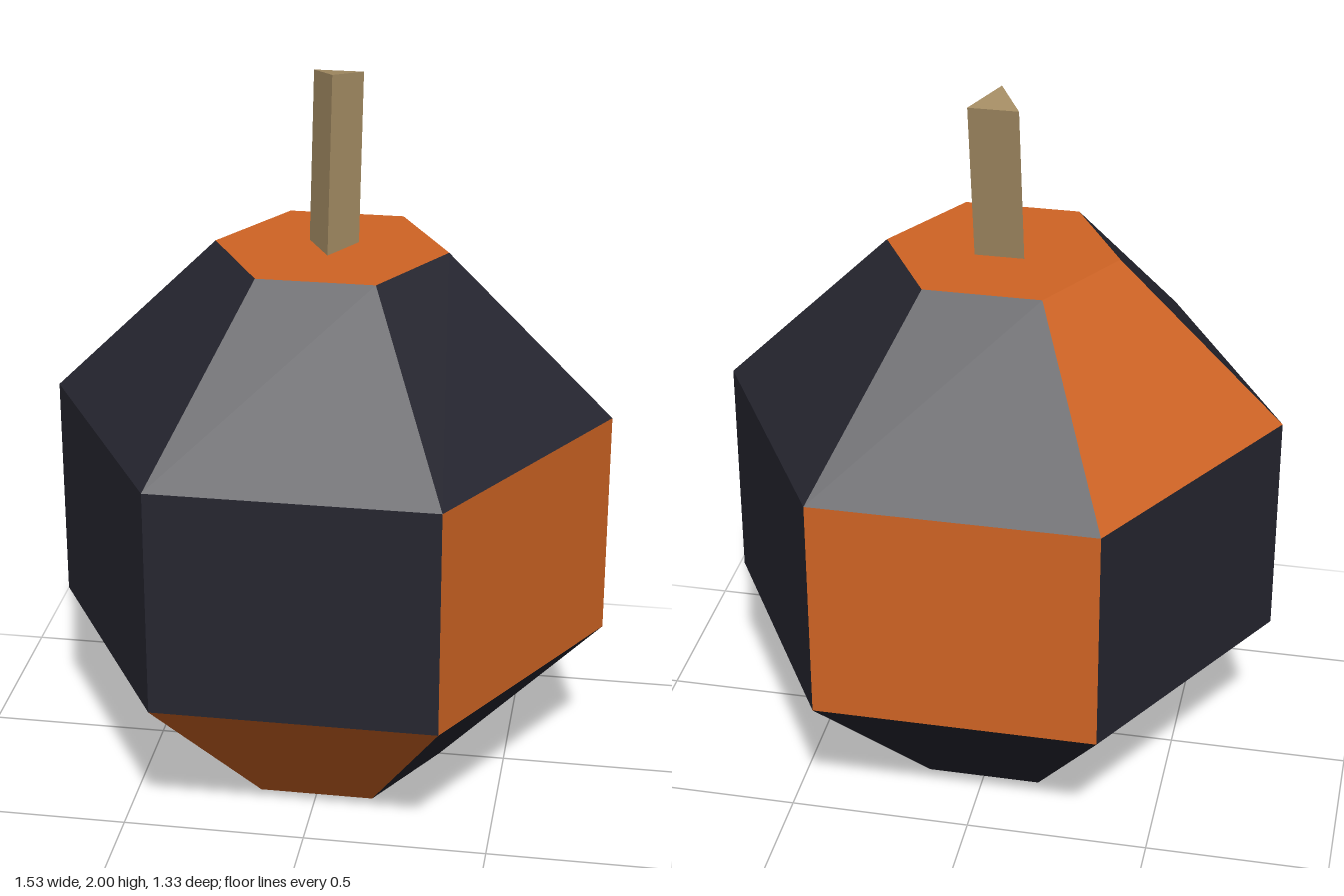
import * as THREE from 'three';

const mat = (name, color) => {
  const m = new THREE.MeshStandardMaterial({ color });
  m.name = name;
  return m;
};

export function createModel() {
  const dark = mat('charcoal', 0x262630);
  const orange = mat('orange', 0xd06424);
  const wood = mat('stem brown', 0xa58d64);

  const model = new THREE.Group();
  model.name = 'pumpkin';
  const add = (name, geometry, material, parent = model) => {
    const mesh = new THREE.Mesh(geometry, material);
    mesh.name = name;
    parent.add(mesh);
    return mesh;
  };

  const SIDES = 6;
  const corner = (i, r, y) => {
    const a = (i / SIDES) * Math.PI * 2;
    return [r * Math.cos(a), y, r * Math.sin(a)];
  };

  // One flat panel of a ring, counted from +x towards +z
  const panel = (i, [r0, y0], [r1, y1]) => {
    const a0 = corner(i, r0, y0), b0 = corner(i + 1, r0, y0);
    const a1 = corner(i, r1, y1), b1 = corner(i + 1, r1, y1);
    const g = new THREE.BufferGeometry();
    g.setAttribute('position', new THREE.Float32BufferAttribute(
      [b0, a0, a1, b0, a1, b1].flat(), 3));
    g.computeVertexNormals();
    return g;
  };

  // Body: three rings of panels, some of them orange
  const profile = [[0.315, 0], [0.765, 0.452], [0.765, 1.086], [0.315, 1.533]];
  const rings = [
    { name: 'lowerPanel', orange: [1, 5] },
    { name: 'middlePanel', orange: [0, 4] },
    { name: 'upperPanel', orange: [3] },
  ];
  const body = new THREE.Group();
  body.name = 'body';
  model.add(body);
  rings.forEach((ring, k) => {
    for (let i = 0; i < SIDES; i++) {
      add(ring.name + (i + 1), panel(i, profile[k], profile[k + 1]),
        ring.orange.includes(i) ? orange : dark, body);
    }
  });

  // Flat hexagonal caps
  const cap = new THREE.CircleGeometry(0.315, SIDES);
  add('topCap', cap, orange, body).rotation.x = -Math.PI / 2;
  body.getObjectByName('topCap').position.y = 1.533;
  add('bottomCap', cap, orange, body).rotation.x = Math.PI / 2;

  // Three-sided stem leaning back
  const stemGeometry = new THREE.CylinderGeometry(0.077, 0.077, 0.5, 3).toNonIndexed();
  stemGeometry.computeVertexNormals();
  const stem = add('stem', stemGeometry, wood);
  stem.rotation.x = -0.174;
  stem.position.set(0, 1.741, -0.043);

  return model;
}
